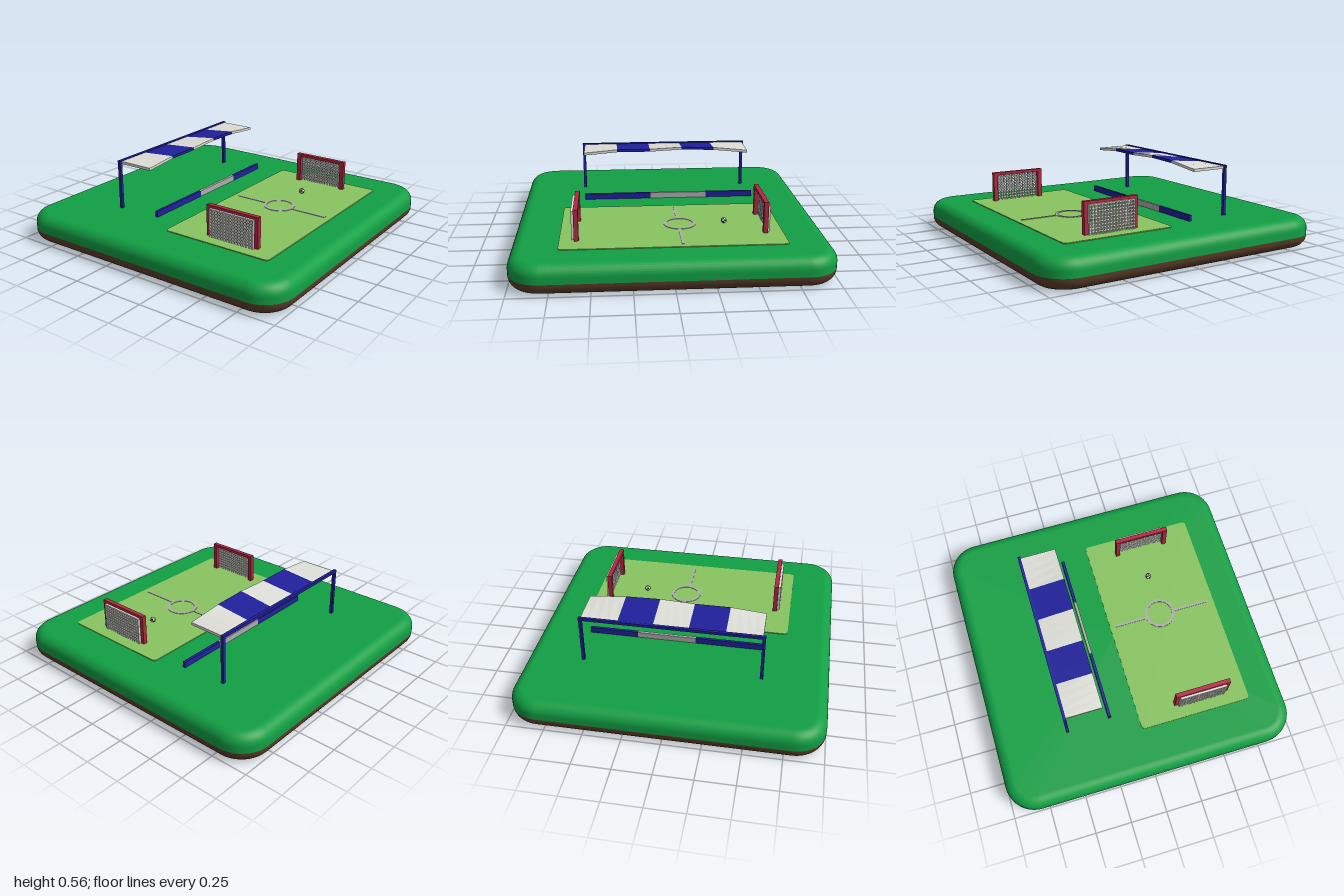
import * as THREE from 'three';

const mat = (color, extra = {}) => new THREE.MeshStandardMaterial({ color, ...extra });
const GREEN = mat(0x12a045), BROWN = mat(0x5c3d2a), PITCH = mat(0x88c460), BLUE = mat(0x20209c);
const WHITE = mat(0xdedfd8), RED = mat(0xb32842), GREY = mat(0xaeaeae), BLACK = mat(0x111111);
const GROUND = 0.195;

function add(parent, name, geometry, material, x = 0, y = 0, z = 0) {
  const mesh = new THREE.Mesh(geometry, material);
  mesh.name = name;
  mesh.position.set(x, y, z);
  parent.add(mesh);
  return mesh;
}

// Box given by its lower and upper corners
function slab(parent, name, material, [x0, y0, z0], [x1, y1, z1]) {
  return add(parent, name, new THREE.BoxGeometry(x1 - x0, y1 - y0, z1 - z0), material,
    (x0 + x1) / 2, (y0 + y1) / 2, (z0 + z1) / 2);
}

// Rounded-square rings stacked along a profile of [inset, height]; optional flat cap
function roundedBlock(profile, cap) {
  const R = 0.2, steps = 10, pos = [], idx = [], n = 4 * (steps + 1);
  for (const [inset, y] of profile) {
    for (let c = 0; c < 4; c++) for (let s = 0; s <= steps; s++) {
      const a = (c + s / steps) * Math.PI / 2;
      const cx = (c === 0 || c === 3 ? 1 : -1) * (1 - R), cz = (c < 2 ? 1 : -1) * (1 - R);
      pos.push(cx + Math.cos(a) * (R - inset), y, cz + Math.sin(a) * (R - inset));
    }
  }
  for (let r = 0; r < profile.length - 1; r++) for (let i = 0; i < n; i++) {
    const a = r * n + i, b = r * n + (i + 1) % n;
    idx.push(a, a + n, b, b, a + n, b + n);
  }
  const ring = cap === 'top' ? (profile.length - 1) * n : 0;
  const centre = pos.length / 3;
  pos.push(0, cap === 'top' ? profile.at(-1)[1] : profile[0][1], 0);
  for (let i = 0; i < n; i++) {
    const a = ring + i, b = ring + (i + 1) % n;
    if (cap === 'top') idx.push(centre, b, a); else idx.push(centre, a, b);
  }
  const g = new THREE.BufferGeometry();
  g.setAttribute('position', new THREE.Float32BufferAttribute(pos, 3));
  g.setIndex(idx);
  g.computeVertexNormals();
  return g;
}

function roundedRect(x0, y0, x1, y1, r) {
  const s = new THREE.Shape();
  s.absarc(x1 - r, y1 - r, r, 0, Math.PI / 2);
  s.absarc(x0 + r, y1 - r, r, Math.PI / 2, Math.PI);
  s.absarc(x0 + r, y0 + r, r, Math.PI, Math.PI * 1.5);
  s.absarc(x1 - r, y0 + r, r, Math.PI * 1.5, Math.PI * 2);
  return s;
}

// Goal with its mouth towards +z, standing on the origin
function makeGoal() {
  const goal = new THREE.Group();
  goal.name = 'goal';
  const w = 0.19, h = 0.21, t = 0.03, d = 0.015;
  for (const s of [-1, 1]) add(goal, 'goalPost', new THREE.BoxGeometry(t, h, 2 * d), RED, s * (w - t / 2), h / 2);
  add(goal, 'crossbar', new THREE.BoxGeometry(2 * (w - t), 0.02, 2 * d), RED, 0, h - 0.01);
  // Net panel of square openings
  const shape = roundedRect(-0.163, 0, 0.163, 0.192, 0.003);
  const cols = 15, rows = 9, cell = 0.0212, open = 0.0135;
  for (let i = 0; i < cols; i++) for (let j = 0; j < rows; j++) {
    const x = (i - cols / 2 + 0.5) * cell - open / 2, y = 0.006 + j * 0.0205;
    const hole = new THREE.Path();
    hole.moveTo(x, y).lineTo(x, y + open).lineTo(x + open, y + open).lineTo(x + open, y).closePath();
    shape.holes.push(hole);
  }
  add(goal, 'net', new THREE.ExtrudeGeometry(shape, { depth: 0.017, bevelEnabled: false }), WHITE, 0, 0, -d - 0.016);
  return goal;
}

// Ball of alternating dark and light patches
function makeBall() {
  const ball = new THREE.Group();
  ball.name = 'ball';
  const around = 8, down = 4;
  for (let i = 0; i < around; i++) for (let j = 0; j < down; j++) {
    add(ball, 'ballPatch', new THREE.SphereGeometry(0.019, 3, 3, i * 2 * Math.PI / around, 2 * Math.PI / around,
      j * Math.PI / down, Math.PI / down), (i + j) % 2 ? BLACK : WHITE);
  }
  return ball;
}

// Roof panel whose free edge is lifted by liftA at z0 and liftB at z1
function roofPanel(z0, z1, liftA, liftB) {
  const g = new THREE.BoxGeometry(0.245, 0.018, z1 - z0, 1, 1, 4).toNonIndexed();
  const p = g.attributes.position;
  for (let i = 0; i < p.count; i++) {
    const t = p.getZ(i) / (z1 - z0) + 0.5;
    if (p.getX(i) > 0) p.setY(i, p.getY(i) + liftA + (liftB - liftA) * t);
  }
  g.computeVertexNormals();
  return g;
}

export function createModel() {
  const model = new THREE.Group();
  model.name = 'footballGround';

  // Earth and grass base with soft edges
  const R = 0.075, arc = (k) => [R * (1 - Math.sin(k)), R * (1 - Math.cos(k))];
  const lower = [], upper = [];
  for (let i = 0; i <= 8; i++) {
    const [inset, y] = arc(i / 8 * Math.PI / 2);
    lower.push([inset, y]);
    upper.unshift([inset, GROUND - y]);
  }
  add(model, 'earth', roundedBlock([...lower, [0, 0.08]], 'bottom'), BROWN);
  add(model, 'grass', roundedBlock([[0, 0.08], ...upper], 'top'), GREEN);

  // Pitch and its markings
  const pitch = add(model, 'pitch', new THREE.ExtrudeGeometry(roundedRect(-0.01, -0.70, 0.76, 0.72, 0.025),
    { depth: 0.008, bevelEnabled: false }), PITCH, 0, GROUND - 0.003, 0);
  pitch.rotation.x = -Math.PI / 2;
  const ring = new THREE.Shape().absarc(0, 0, 0.106, 0, Math.PI * 2);
  ring.holes.push(new THREE.Path().absarc(0, 0, 0.087, 0, Math.PI * 2, true));
  add(model, 'centreCircle', new THREE.ExtrudeGeometry(ring, { depth: 0.008, bevelEnabled: false, curveSegments: 32 }),
    GREY, 0.36, GROUND, -0.073).rotation.x = -Math.PI / 2;
  for (const [a, b] of [[0.03, 0.265], [0.455, 0.718]])
    slab(model, 'halfwayLine', GREY, [a, GROUND, -0.073], [b, 0.203, -0.057]);

  // Goals facing each other, and the ball
  const backGoal = makeGoal(), frontGoal = makeGoal();
  backGoal.position.set(0.38, GROUND, -0.605);
  frontGoal.position.set(0.44, GROUND, 0.592);
  frontGoal.rotation.y = Math.PI;
  const ball = makeBall();
  ball.position.set(0.365, 0.217, -0.365);
  model.add(backGoal, frontGoal, ball);

  // Shelter: two posts, a beam and a striped roof
  const shelter = new THREE.Group();
  shelter.name = 'shelter';
  model.add(shelter);
  for (const z of [-0.614, 0.566])
    slab(shelter, 'shelterPost', BLUE, [-0.51, 0.19, z - 0.01], [-0.49, 0.52, z + 0.01]);
  slab(shelter, 'shelterBeam', BLUE, [-0.51, 0.513, -0.626], [-0.49, 0.532, 0.577]);
  const edges = [-0.615, -0.37, -0.14, 0.09, 0.325, 0.56];
  const lifts = [0, 0.025, 0.031, 0.02, 0.02, 0];
  for (let i = 0; i < 5; i++)
    add(shelter, 'roofPanel', roofPanel(edges[i], edges[i + 1], lifts[i], lifts[i + 1]), i % 2 ? BLUE : WHITE,
      -0.3675, 0.517, (edges[i] + edges[i + 1]) / 2);

  // Low barrier beside the pitch
  for (const [a, b, m] of [[-0.645, -0.31, BLUE], [-0.31, 0.09, GREY], [0.09, 0.56, BLUE]])
    slab(model, 'barrier', m, [-0.21, 0.19, a], [-0.19, 0.235, b]);

  return model;
}
